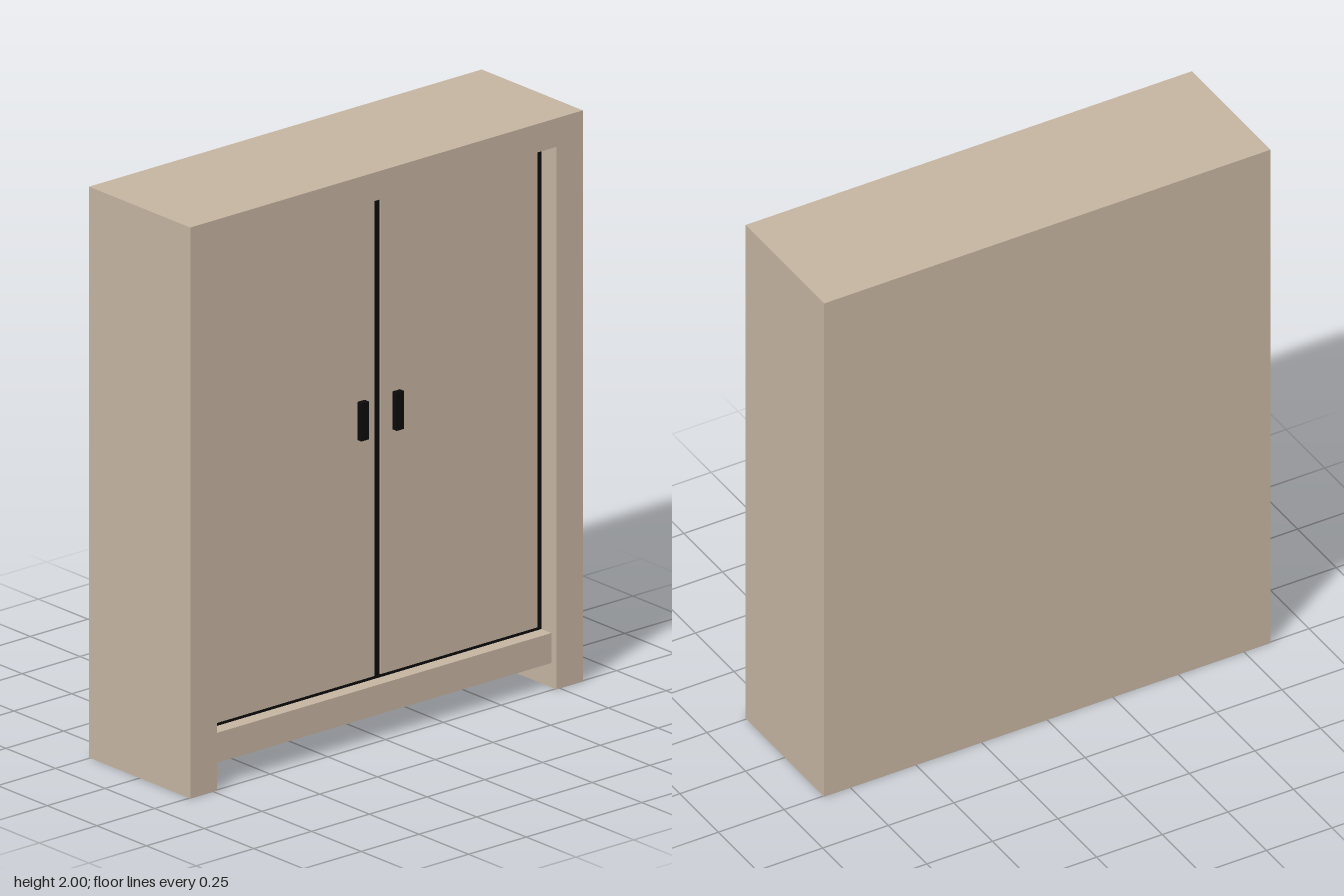
import * as THREE from 'three';

export function createModel() {
  const group = new THREE.Group();
  const wood = new THREE.MeshStandardMaterial({ color: 0xc4b3a0 });
  wood.name = 'tan wood';
  const black = new THREE.MeshStandardMaterial({ color: 0x0b0b0b });
  black.name = 'black';

  // Box given by its min and max along each axis
  const box = (name, material, [x0, x1], [y0, y1], [z0, z1]) => {
    const mesh = new THREE.Mesh(new THREE.BoxGeometry(x1 - x0, y1 - y0, z1 - z0), material);
    mesh.position.set((x0 + x1) / 2, (y0 + y1) / 2, (z0 + z1) / 2);
    mesh.name = name;
    group.add(mesh);
  };

  const back = -0.255, front = 0.255, inner = 0.735, outer = 0.85;

  // Carcass: two sides, top board, back panel and raised bottom shelf
  box('sidePanelLeft', wood, [back, front], [0, 2], [inner, outer]);
  box('sidePanelRight', wood, [back, front], [0, 2], [-outer, -inner]);
  box('topBoard', wood, [back, front], [1.9, 2], [-inner, inner]);
  box('backPanel', wood, [back, -0.22], [0, 1.9], [-inner, inner]);
  box('bottomShelf', wood, [-0.22, 0.23], [0.085, 0.19], [-inner, inner]);

  // Dark backing that shows as the gaps around the recessed doors
  box('doorGap', black, [0.15, 0.18], [0.19, 1.9], [-inner, inner]);

  // Doors with their handles beside the centre gap
  const doors = [
    { side: 'Left', z: [-0.008, 0.712], handle: [0.034, 0.066] },
    { side: 'Right', z: [-0.715, -0.034], handle: [-0.119, -0.087] },
  ];
  for (const { side, z, handle } of doors) {
    box('door' + side, wood, [0.176, 0.184], [0.202, 1.885], z);
    box('handle' + side, black, [0.18, 0.205], [1.047, 1.18], handle);
  }
  return group;
}
